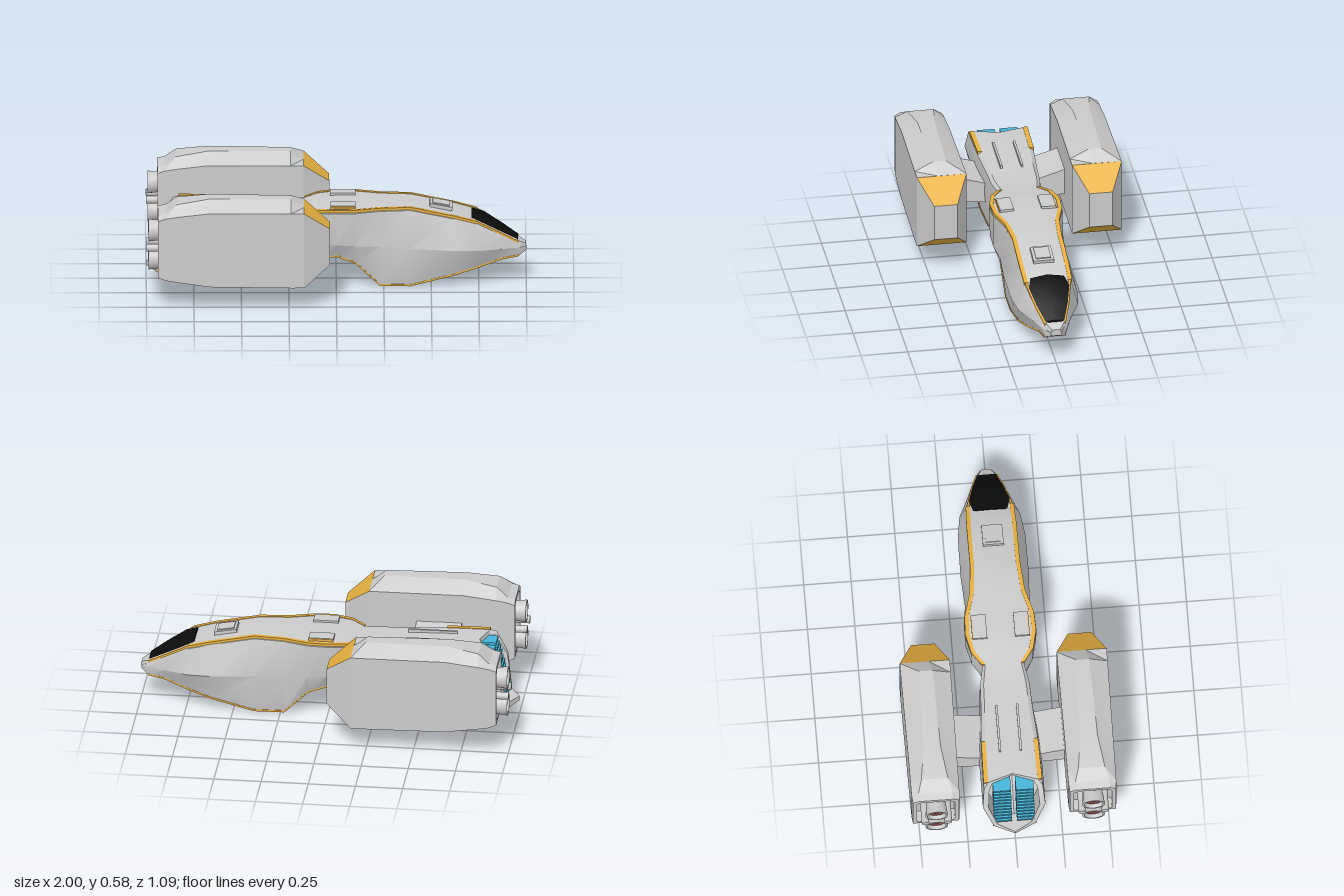
import * as THREE from 'three';
import { toCreasedNormals } from 'three/addons/utils/BufferGeometryUtils.js';

const mat = (color) => new THREE.MeshStandardMaterial({ color, side: THREE.DoubleSide });
const grey = mat(0xcccccc), yellow = mat(0xe8b040), black = mat(0x0c0c0c), blue = mat(0x45b4d8), red = mat(0x94504a);

function add(parent, name, geometry, material, x = 0, y = 0, z = 0) {
  const mesh = new THREE.Mesh(geometry, material);
  mesh.name = name;
  mesh.position.set(x, y, z);
  parent.add(mesh);
  return mesh;
}

function fromTriangles(pos) {
  const g = new THREE.BufferGeometry();
  g.setAttribute('position', new THREE.Float32BufferAttribute(pos, 3));
  return g;
}

// Skin closed rings of [x, y, z] points (rear to front), capped at both ends
function loft(rings, crease = 0.4) {
  const pos = [];
  const tri = (...pts) => pts.forEach((p) => pos.push(...p));
  const n = rings[0].length;
  for (let i = 0; i < rings.length - 1; i++) {
    for (let j = 0; j < n; j++) {
      const k = (j + 1) % n, a = rings[i], b = rings[i + 1];
      tri(a[j], b[j], b[k]);
      tri(a[j], b[k], a[k]);
    }
  }
  const centre = (r) => [0, 1, 2].map((c) => r.reduce((s, p) => s + p[c], 0) / n);
  const first = rings[0], last = rings[rings.length - 1], c0 = centre(first), c1 = centre(last);
  for (let j = 0; j < n; j++) {
    const k = (j + 1) % n;
    tri(c0, first[j], first[k]);
    tri(c1, last[k], last[j]);
  }
  return toCreasedNormals(fromTriangles(pos), crease);
}

// Thin rectangular bar following a path
const bar = (path, ty, tz) => loft(path.map(([x, y, z]) =>
  [[x, y - ty, z - tz], [x, y - ty, z + tz], [x, y + ty, z + tz], [x, y + ty, z - tz]]));

// Flat four-cornered panel
function panel(a, b, c, d) {
  const g = fromTriangles([a, b, c, a, c, d].flat());
  g.computeVertexNormals();
  return g;
}

// Half section to full ring: bottom centre, up the +z side, over the top, down the -z side
const mirrorRing = (half) => [...half, ...half.slice(1, -1).reverse().map(([x, y, z]) => [x, y, -z])];

// Hull stations: x, keel height, keel, side and shoulder half widths, deck height
const stations = [
  [-0.75, 0.077, 0.13, 0.165, 0.155, 0.415],
  [-0.60, 0.077, 0.135, 0.165, 0.15, 0.415],
  [-0.40, 0.08, 0.125, 0.142, 0.135, 0.41],
  [-0.28, 0.11, 0.11, 0.135, 0.13, 0.41],
  [-0.17, 0.135, 0.1, 0.115, 0.11, 0.415],
  [-0.10, 0.145, 0.12, 0.16, 0.165, 0.425],
  [0.00, 0.165, 0.14, 0.185, 0.19, 0.43],
  [0.10, 0.13, 0.145, 0.185, 0.185, 0.43],
  [0.23, 0.005, 0.14, 0.17, 0.145, 0.43],
  [0.39, 0.003, 0.14, 0.18, 0.13, 0.43],
  [0.62, 0.06, 0.135, 0.178, 0.13, 0.382],
  [0.74, 0.092, 0.11, 0.16, 0.125, 0.35],
  [0.87, 0.128, 0.07, 0.1, 0.09, 0.275],
  [0.96, 0.14, 0.055, 0.062, 0.055, 0.22],
  [1.00, 0.165, 0.025, 0.03, 0.025, 0.2],
];

function buildHull(root) {
  const hull = new THREE.Group();
  hull.name = 'hull';
  root.add(hull);

  // Body, ending in a slanted open stern with a recess
  const rings = stations.map(([x, keelY, keelW, sideW, w, deckY]) => mirrorRing([
    [x, keelY, 0], [x, keelY, keelW], [x, 0.24 - 0.055 * x, sideW],
    [x, deckY - 0.015, w], [x, deckY, w * 0.86], [x, deckY + w * 0.05, 0]]));
  const stern = mirrorRing([[-1, 0.075, 0], [-0.95, 0.077, 0.11], [-0.92, 0.28, 0.165],
    [-0.86, 0.4, 0.155], [-0.83, 0.415, 0.133], [-0.79, 0.42, 0]]);
  const inset = (dx) => stern.map(([x, y, z]) => [x + dx, 0.25 + (y - 0.25) * 0.86, z * 0.82]);
  add(hull, 'hullBody', loft([inset(0.1), inset(0), stern, ...rings], 0.45), grey);

  for (const s of [-1, 1]) {
    // Stepped stern vents
    for (let i = 0; i < 11; i++) {
      const t = i / 10;
      add(hull, 'ventSlat', new THREE.BoxGeometry(0.09, 0.016, 0.094), blue,
        -0.9 + 0.07 * t, 0.125 + 0.262 * t, s * 0.06);
    }

    // Trim along the deck, canopy, keel and stern edges
    const deckEdge = stations.map(([x, , , , w, y]) => [x, y - 0.004, s * w * 0.93]);
    add(hull, 'deckTrim', bar(deckEdge.slice(4, 12), 0.007, 0.011), yellow);
    add(hull, 'canopyTrim', bar(deckEdge.slice(11, 14), 0.006, 0.006), yellow);
    const keelEdge = stations.slice(0, 14).map(([x, y, w]) => [x, y + 0.003, s * w]);
    add(hull, 'keelTrim', bar([[-0.95, 0.08, s * 0.11], ...keelEdge], 0.005, 0.004), yellow);
    add(hull, 'sternTrim', bar([[-0.83, 0.41, s * 0.143], [-0.6, 0.41, s * 0.138]], 0.008, 0.012), yellow);

    // Raised hatches and rear deck rails
    add(hull, 'hatchBase', new THREE.BoxGeometry(0.13, 0.018, 0.078), yellow, 0.035, 0.434, s * 0.113);
    add(hull, 'hatch', new THREE.BoxGeometry(0.132, 0.014, 0.074), grey, 0.035, 0.439, s * 0.11);
    add(hull, 'deckRail', new THREE.BoxGeometry(0.26, 0.024, 0.012), grey, -0.535, 0.42, s * 0.055);
  }

  // Roof box behind the canopy
  add(hull, 'roofBox', new THREE.BoxGeometry(0.12, 0.035, 0.11), grey, 0.55, 0.401, 0).rotation.z = -0.18;
  add(hull, 'roofBoxLid', new THREE.BoxGeometry(0.09, 0.008, 0.08), grey, 0.552, 0.42, 0).rotation.z = -0.18;

  // Canopy glass: x, edge height, half width, ridge height
  const glass = [[0.712, 0.362, 0.09, 0.377], [0.775, 0.338, 0.108, 0.354],
    [0.87, 0.283, 0.083, 0.297], [0.957, 0.23, 0.05, 0.236]];
  add(hull, 'canopy', loft(glass.map(([x, y, w, top]) =>
    [[x, y - 0.02, 0], [x, y, w], [x, top, 0], [x, y, -w]])), black);
}

function buildPod(root, side) {
  const pod = new THREE.Group();
  pod.name = side > 0 ? 'frontEnginePod' : 'backEnginePod';
  pod.position.z = side * 0.414;
  root.add(pod);

  // Body stations: x, bottom, half width, shoulder height, top half width, top
  const body = [
    [-0.88, 0.195, 0.1, 0.46, 0.075, 0.48], [-0.94, 0.195, 0.1, 0.46, 0.075, 0.48],
    [-0.94, 0.175, 0.122, 0.485, 0.09, 0.505], [-0.9, 0.16, 0.126, 0.5, 0.09, 0.515],
    [-0.84, 0.15, 0.127, 0.51, 0.07, 0.562], [-0.67, 0.125, 0.128, 0.53, 0.045, 0.585],
    [-0.24, 0.12, 0.132, 0.53, 0.035, 0.58], [-0.17, 0.12, 0.132, 0.53, 0.02, 0.531],
  ];
  add(pod, 'podBody', loft(body.map(([x, y0, w, y1, t, y2]) =>
    [[x, y0, -w], [x, y0, w], [x, y1, w], [x, y2, t], [x, y2, -t], [x, y1, -w]]), 0.2), grey);

  // Tapered nose, yellow above and below
  const frame = (x, w, y0, y1) => [[x, y0, -w], [x, y0, w], [x, y1, w], [x, y1, -w]];
  const a = frame(-0.17, 0.132, 0.12, 0.53), b = frame(-0.035, 0.062, 0.225, 0.425);
  for (let j = 0; j < 4; j++) {
    const k = (j + 1) % 4;
    add(pod, 'podNose', panel(a[j], b[j], b[k], a[k]), j % 2 ? grey : yellow);
  }
  add(pod, 'podNoseFace', panel(b[1], b[0], b[3], b[2]), grey);

  // Twin main nozzles
  const profile = [[0.05, -0.05], [0.056, 0.02], [0.06, 0.05], [0.05, 0.05], [0.036, 0.005], [0, 0.005]]
    .map(([r, h]) => new THREE.Vector2(r, h));
  for (const y of [0.245, 0.4]) {
    add(pod, 'nozzle', toCreasedNormals(new THREE.LatheGeometry(profile, 24), 0.5), grey, -0.94, y).rotation.z = Math.PI / 2;
    add(pod, 'nozzleRing', new THREE.TorusGeometry(0.04, 0.006, 6, 24), red, -0.965, y).rotation.y = Math.PI / 2;
  }

  // Small thrusters between them
  for (const z of [-0.06, 0.06]) {
    add(pod, 'thruster', new THREE.CylinderGeometry(0.02, 0.02, 0.12, 16), grey, -0.94, 0.322, z).rotation.z = Math.PI / 2;
  }

  // Strut joining pod to hull
  const strut = [-0.66, -0.42].map((x) => {
    const ring = [[x, 0.21, side * 0.12], [x, 0.227, side * 0.31], [x, 0.378, side * 0.31], [x, 0.32, side * 0.12]];
    return side > 0 ? ring : ring.reverse();
  });
  add(root, 'strut', loft(strut), grey);
}

export function createModel() {
  const root = new THREE.Group();
  root.name = 'spaceship';
  buildHull(root);
  buildPod(root, 1);
  buildPod(root, -1);
  return root;
}
